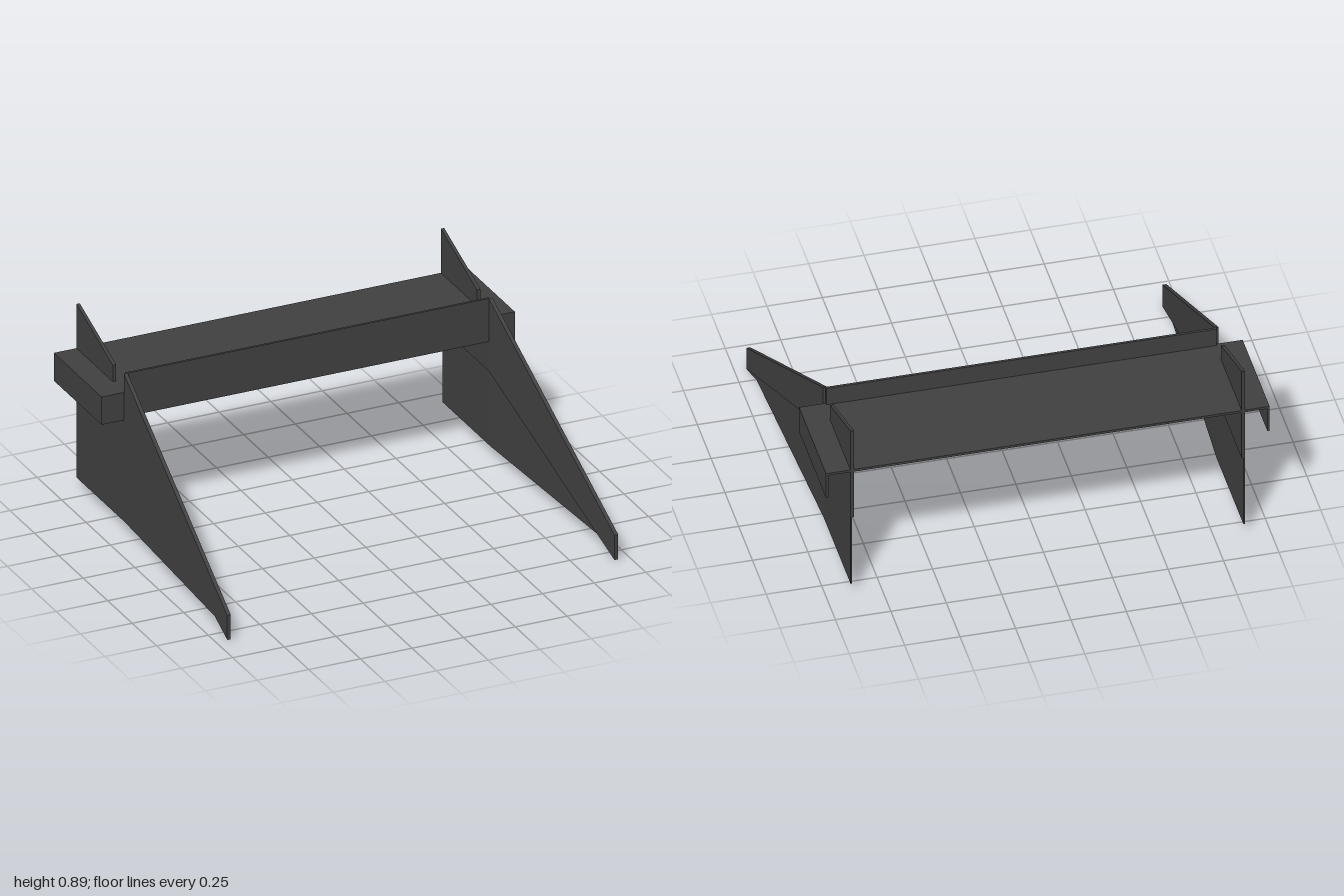
import * as THREE from 'three';

const BEND = -0.34;   // z where the side plates start to flare outward
const FLARE = 0.047;  // sideways flare per unit of z

export function createModel() {
  const group = new THREE.Group();
  const charcoal = new THREE.MeshStandardMaterial({ color: 0x404040 });
  charcoal.name = 'charcoal';

  const add = (name, geometry) => {
    const mesh = new THREE.Mesh(geometry, charcoal);
    mesh.name = name;
    group.add(mesh);
  };

  const box = (name, x0, x1, y0, y1, z0, z1) => {
    const g = new THREE.BoxGeometry(x1 - x0, y1 - y0, z1 - z0);
    g.translate((x0 + x1) / 2, (y0 + y1) / 2, (z0 + z1) / 2);
    add(name, g);
  };

  // Upright plate cut from a [z, y] outline between x0 and x1, flared ahead of the bend
  const plate = (name, side, x0, x1, outline) => {
    const shape = new THREE.Shape(outline.map(([z, y]) => new THREE.Vector2(-z, y)));
    const g = new THREE.ExtrudeGeometry(shape, { depth: x1 - x0, bevelEnabled: false });
    g.rotateY(Math.PI / 2);
    g.translate(side > 0 ? x0 : -x1, 0, 0);
    const p = g.attributes.position;
    for (let i = 0; i < p.count; i++) {
      p.setX(i, p.getX(i) + side * FLARE * Math.max(0, p.getZ(i) - BEND));
    }
    g.computeVertexNormals();
    add(name, g);
  };

  // Hollow deck: thin top and front panel, open at the back and below
  box('deckTop', -1, 1, 0.668, 0.68, -0.83, BEND);
  box('frontPanel', -0.88, 0.88, 0.56, 0.77, -0.352, BEND);

  for (const side of [1, -1]) {
    const s = side > 0 ? 'left' : 'right';
    const span = (a, b) => (side > 0 ? [a, b] : [-b, -a]);

    // Deck end outside the side plate
    box(s + 'DeckEnd', ...span(0.99, 1), 0.545, 0.68, -0.83, BEND);
    box(s + 'DeckEndFront', ...span(0.88, 1), 0.545, 0.68, -0.35, BEND);

    // Thin lower skirt
    plate(s + 'RearSkirt', side, 0.882, 0.889,
      [[-0.83, 0.05], [BEND, 0.05], [BEND, 0.43], [-0.83, 0.43]]);
    plate(s + 'FrontSkirt', side, 0.882, 0.889,
      [[BEND, 0.05], [0.7, 0.05], [BEND, 0.43]]);

    // Thicker upper plate with the rear fin
    plate(s + 'RearPlate', side, 0.874, 0.89,
      [[-0.83, 0.417], [BEND, 0.417], [BEND, 0.68], [-0.458, 0.68], [-0.458, 0.76], [-0.83, 0.895]]);
    plate(s + 'FrontPlate', side, 0.874, 0.89,
      [[BEND, 0.417], [0.83, 0], [0.83, 0.12], [BEND, 0.77]]);

    // Slightly raised outer rail along the sloping edge
    plate(s + 'OuterRail', side, 0.889, 0.892,
      [[BEND, 0.545], [0.83, 0.005], [0.83, 0.12], [BEND, 0.77]]);
  }
  return group;
}
